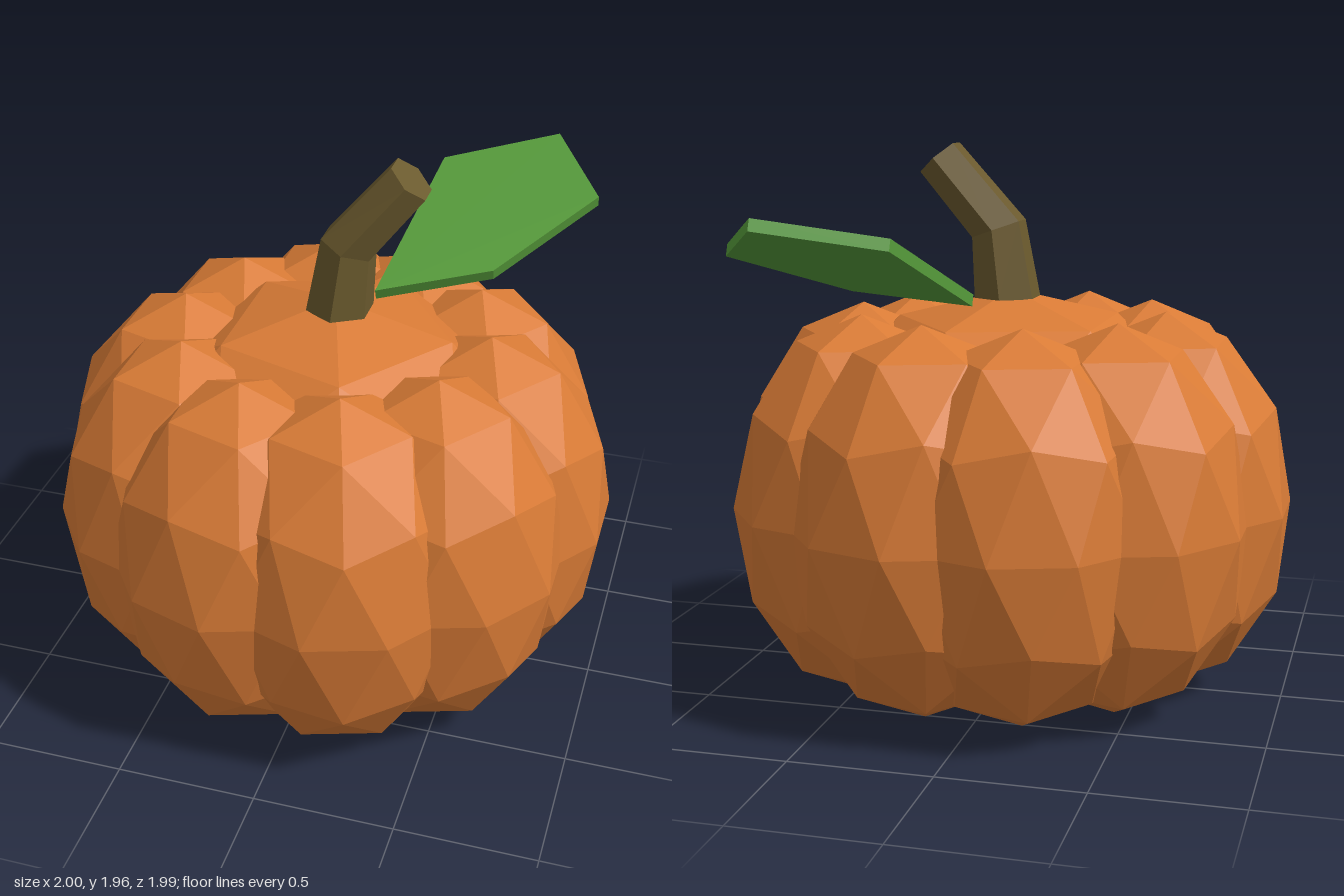
import * as THREE from 'three';

const orange = new THREE.MeshStandardMaterial({ color: 0xd97b36, flatShading: true });
orange.name = 'pumpkin orange';
const brown = new THREE.MeshStandardMaterial({ color: 0x6b5a2e, flatShading: true });
brown.name = 'stem brown';
const green = new THREE.MeshStandardMaterial({ color: 0x55993a, flatShading: true });
green.name = 'leaf green';

// Faceted ellipsoid with a vertex at each pole and an upper ring vertex towards +x
function facetedBall(radius, halfHeight) {
  const geometry = new THREE.IcosahedronGeometry(1, 1);
  geometry.rotateX(-Math.atan((1 + Math.sqrt(5)) / 2));
  geometry.rotateY(Math.PI / 2);
  geometry.scale(radius, halfHeight, radius);
  geometry.computeVertexNormals();
  return geometry;
}

function addMesh(parent, name, geometry, material) {
  const mesh = new THREE.Mesh(geometry, material);
  mesh.name = name;
  parent.add(mesh);
  return mesh;
}

// Six-sided stem whose three rings follow a bend
function stemGeometry() {
  const rings = [
    { x: 0.015, y: 1.415, z: 0, r: 0.122, tilt: 0 },
    { x: 0.045, y: 1.66, z: -0.007, r: 0.104, tilt: 0.34 },
    { x: 0.25, y: 1.91, z: -0.045, r: 0.09, tilt: 0.7 },
  ];
  const geometry = new THREE.CylinderGeometry(1, 1, 2, 6, 2).toNonIndexed();
  const p = geometry.attributes.position;
  for (let i = 0; i < p.count; i++) {
    const ring = rings[Math.round(p.getY(i)) + 1];
    const across = p.getX(i) * ring.r;
    p.setXYZ(
      i,
      ring.x + across * Math.cos(ring.tilt),
      ring.y - across * Math.sin(ring.tilt),
      ring.z + p.getZ(i) * ring.r
    );
  }
  geometry.computeVertexNormals();
  return geometry;
}

// Flat five-cornered leaf, rising towards the back
function leafGeometry() {
  const outline = [[0.11, 0.125], [0.5, 0.29], [0.8, 0.708], [0.6, 1.009], [0.2, 0.815]];
  const shape = new THREE.Shape(outline.map(([x, y]) => new THREE.Vector2(x, y)));
  const thickness = 0.043;
  const geometry = new THREE.ExtrudeGeometry(shape, { depth: thickness, bevelEnabled: false });
  geometry.translate(0, 0, -thickness);
  geometry.rotateX(-Math.PI / 2 + 0.372);
  geometry.translate(0, 1.388, 0);
  return geometry;
}

export function createModel() {
  const model = new THREE.Group();
  model.name = 'pumpkin';

  // Core, seen at the top and bottom between the lobes
  addMesh(model, 'core', facetedBall(0.8, 0.7225), orange).position.y = 0.7225;

  // Ring of ten lobes, all facing the same way
  const lobes = new THREE.Group();
  lobes.name = 'lobes';
  model.add(lobes);
  const lobe = facetedBall(0.462, 0.685);
  for (let i = 0; i < 10; i++) {
    const angle = (i * Math.PI) / 5;
    addMesh(lobes, 'lobe', lobe, orange)
      .position.set(0.56 * Math.cos(angle), 0.695, 0.56 * Math.sin(angle));
  }

  addMesh(model, 'stem', stemGeometry(), brown);
  addMesh(model, 'leaf', leafGeometry(), green);
  return model;
}
